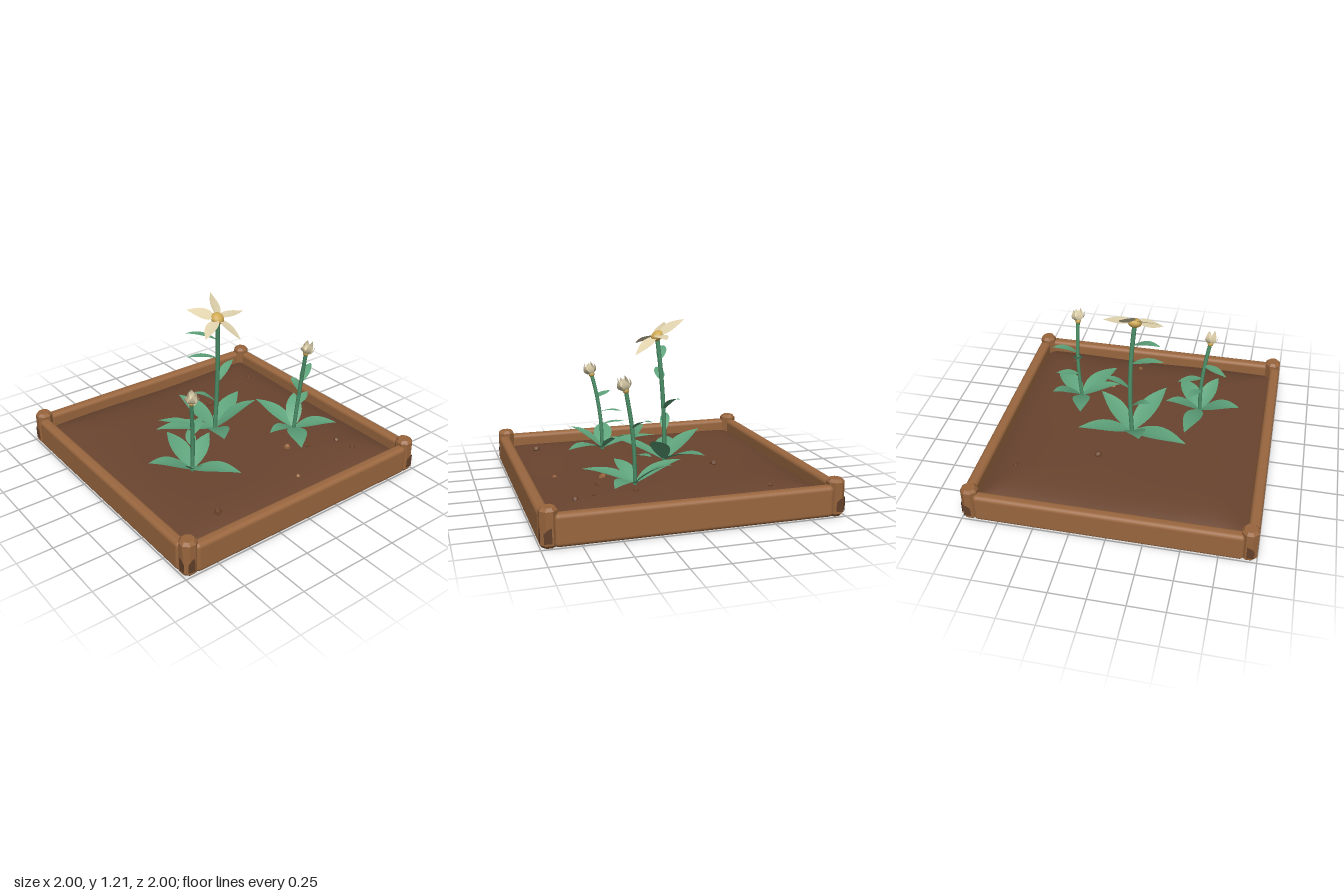
import * as THREE from 'three';
import { RoundedBoxGeometry } from 'three/addons/geometries/RoundedBoxGeometry.js';

const V = (x, y, z) => new THREE.Vector3(x, y, z);
const deg = THREE.MathUtils.degToRad;

function material(name, color, options = {}) {
  const m = new THREE.MeshStandardMaterial({ color, ...options });
  m.name = name;
  return m;
}

function add(parent, name, geometry, mat) {
  const mesh = new THREE.Mesh(geometry, mat);
  mesh.name = name;
  parent.add(mesh);
  return mesh;
}

// Pointed leaf or petal swept along a curve, with a shallow fold down the middle
function bladeGeometry(base, control, tip, width, fold = 0.12) {
  const curve = new THREE.QuadraticBezierCurve3(base, control, tip);
  const side = V(tip.z - base.z, 0, base.x - tip.x).normalize();
  const n = 12, points = [], index = [];
  for (let i = 0; i <= n; i++) {
    const t = i / n, p = curve.getPoint(t);
    const half = (width / 2) * Math.max(Math.sin(Math.PI * Math.pow(t, 0.8)), t < 0.5 ? 0.12 : 0);
    for (const s of [-1, 0, 1]) {
      const q = p.clone().addScaledVector(side, s * half);
      points.push(q.x, q.y + Math.abs(s) * half * fold, q.z);
    }
    if (i < n) {
      for (const k of [i * 3, i * 3 + 1]) index.push(k, k + 1, k + 3, k + 1, k + 4, k + 3);
    }
  }
  const g = new THREE.BufferGeometry();
  g.setAttribute('position', new THREE.Float32BufferAttribute(points, 3));
  g.setIndex(index);
  g.computeVertexNormals();
  return g;
}

function soilHeight(x, z) {
  const edge = Math.max(Math.abs(x), Math.abs(z)) / 0.93;
  return 0.18 - 0.07 * Math.pow(edge, 7) + 0.006 * Math.sin(5 * x + 1) * Math.cos(4 * z);
}

export function createModel() {
  const model = new THREE.Group();
  model.name = 'flowerBed';
  const double = { side: THREE.DoubleSide };
  const wood = material('wood', 0x9a673f);
  const postWood = material('postWood', 0x98653d, { flatShading: true });
  const darkWood = material('darkWood', 0x63402a, double);
  const soil = material('soil', 0x69442f, double);
  const clod = material('clod', 0x6a432b, { flatShading: true });
  const leaf = material('leafGreen', 0x5fa47c, double);
  const stemGreen = material('stemGreen', 0x4c9068);
  const cream = material('creamPetal', 0xe2d4ae, double);
  const gold = material('gold', 0xd0aa54);

  // Frame: four rounded planks
  const plank = new RoundedBoxGeometry(1.83, 0.21, 0.08, 4, 0.03);
  for (let i = 0; i < 4; i++) {
    const side = new THREE.Group();
    side.name = 'frameSide';
    side.rotation.y = i * Math.PI / 2;
    add(side, 'plank', plank, wood).position.set(0, 0.105, 0.96);
    model.add(side);
  }

  // Corner posts: chamfered square columns with dark worn patches near the foot
  const a = 0.04, b = 0.016;
  const octagon = new THREE.Shape([[a, -b], [a, b], [b, a], [-b, a], [-a, b], [-a, -b], [-b, -a], [b, -a]]
    .map(([x, y]) => new THREE.Vector2(x, y)));
  const postGeometry = new THREE.ExtrudeGeometry(octagon, {
    depth: 0.21, bevelEnabled: true, bevelSize: 0.016, bevelThickness: 0.02, bevelSegments: 1,
  });
  postGeometry.rotateX(-Math.PI / 2).translate(0, 0.02, 0);
  const patch = new THREE.ShapeGeometry(new THREE.Shape([[-0.025, 0.035], [0.025, 0.03], [0.025, 0.13], [0, 0.12], [-0.025, 0.1]]
    .map(([x, y]) => new THREE.Vector2(x, y))));
  for (const x of [-1, 1]) {
    for (const z of [-1, 1]) {
      const post = new THREE.Group();
      post.name = 'cornerPost';
      post.position.set(x * 0.943, 0, z * 0.943);
      add(post, 'post', postGeometry, postWood);
      const front = add(post, 'wornPatch', patch, darkWood);
      front.position.set(x * 0.012, 0, z * 0.0565);
      const outer = add(post, 'wornPatch', patch, darkWood);
      outer.position.set(x * 0.0565, 0, z * 0.012);
      outer.rotation.y = Math.PI / 2;
      model.add(post);
    }
  }

  // Soil: a gently mounded sheet that falls away at the frame
  const ground = new THREE.PlaneGeometry(1.86, 1.86, 32, 32).rotateX(-Math.PI / 2);
  const pos = ground.attributes.position;
  for (let i = 0; i < pos.count; i++) pos.setY(i, soilHeight(pos.getX(i), pos.getZ(i)));
  ground.computeVertexNormals();
  add(model, 'soil', ground, soil);

  // Clods: x, z, radius
  const clodGeometry = new THREE.DodecahedronGeometry(1);
  [[0.19, -0.38, 0.027], [0.74, -0.58, 0.02], [0.27, 0.45, 0.026], [0.41, 0.52, 0.026], [0.62, 0.59, 0.021],
    [0.65, 0.72, 0.021], [-0.58, 0.76, 0.027], [0.11, 0.75, 0.016], [0.61, 0.31, 0.02]].forEach(([x, z, r], i) => {
    const m = add(model, 'clod', clodGeometry, i === 7 || i === 2 ? postWood : clod);
    m.position.set(x, soilHeight(x, z) + r * 0.1, z);
    m.scale.setScalar(r);
    m.rotation.set(i, i * 2, 0);
  });

  // Plants: stem path, ground leaf tips and stem leaves (root height, then tip)
  const plants = [
    { stem: [[0.01, 0.16, -0.07], [0.025, 0.45, -0.065], [0.022, 0.8, -0.045], [0, 1.09, -0.02]], radius: 0.016,
      ground: [[-0.41, 0.25, -0.22, 0.15], [-0.1, 0.37, -0.37, 0.15], [0.37, 0.3, -0.25, 0.14], [0.27, 0.4, 0.08, 0.14], [-0.18, 0.34, 0.3, 0.15]],
      upper: [[0.9, -0.2, 0.99, -0.13], [0.75, -0.22, 0.83, -0.08], [0.57, 0.22, 0.67, -0.12], [0.42, -0.14, 0.5, -0.13]] },
    { stem: [[-0.44, 0.16, 0.28], [-0.44, 0.4, 0.29], [-0.46, 0.6, 0.315], [-0.485, 0.75, 0.345]], radius: 0.014, lean: 0.1,
      ground: [[-0.74, 0.31, 0.2, 0.14], [-0.38, 0.27, -0.12, 0.13], [-0.2, 0.33, 0.15, 0.12], [-0.25, 0.24, 0.58, 0.14], [-0.55, 0.34, 0.5, 0.12]],
      upper: [[0.53, -0.63, 0.59, 0.17], [0.42, -0.28, 0.5, 0.17], [0.33, -0.36, 0.4, 0.12]] },
    { stem: [[0.48, 0.16, 0.28], [0.5, 0.4, 0.29], [0.508, 0.6, 0.31], [0.505, 0.82, 0.345]], radius: 0.014, lean: -0.05,
      ground: [[0.4, 0.3, -0.07, 0.13], [0.65, 0.34, 0.08, 0.12], [0.72, 0.24, 0.48, 0.14], [0.27, 0.25, 0.6, 0.14], [0.19, 0.28, 0.35, 0.11]],
      upper: [[0.56, 0.68, 0.64, 0.22], [0.36, 0.66, 0.41, 0.22], [0.48, 0.48, 0.58, 0.22]] },
  ];

  plants.forEach(({ stem, radius, ground: low, upper, lean }, i) => {
    const plant = new THREE.Group();
    plant.name = i === 0 ? 'bloomingPlant' : 'buddingPlant';
    model.add(plant);
    const path = new THREE.CatmullRomCurve3(stem.map((p) => V(...p)));
    add(plant, 'stem', new THREE.TubeGeometry(path, 20, radius, 8), stemGreen);

    const root = path.getPoint(0).setY(0.185);
    for (const [x, y, z, w] of low) {
      const tip = V(x, y, z), control = root.clone().lerp(tip, 0.5);
      control.y += 0.05;
      add(plant, 'groundLeaf', bladeGeometry(root, control, tip, w, 0.2), leaf);
    }
    for (const [h, x, y, z] of upper) {
      const start = path.getPoint((h - stem[0][1]) / (stem[3][1] - stem[0][1]));
      const tip = V(x, y, z), control = start.clone().lerp(tip, 0.5).setY(y + 0.005);
      add(plant, 'stemLeaf', bladeGeometry(start, control, tip, 0.07), leaf);
    }

    const head = new THREE.Group();
    head.position.copy(path.getPoint(1));
    plant.add(head);
    if (i === 0) {
      // Open flower: five twisted petals round a gold centre
      head.name = 'flower';
      head.rotation.x = deg(34);
      const petal = bladeGeometry(V(0.01, 0.005, 0), V(0.11, 0.012, 0), V(0.225, 0, 0), 0.095, 0.08);
      [-32, 22, 0, 38, -22].forEach((twist, k) => {
        const m = add(head, 'petal', petal, cream);
        m.rotation.set(deg(twist), deg(k * 72), 0, 'YXZ');
      });
      add(head, 'flowerCentre', new THREE.SphereGeometry(0.048, 16, 12), gold).scale.y = 0.7;
    } else {
      // Half-open bud: two rings of upright petals on a gold base
      head.name = 'bud';
      head.rotation.set(0.3, 0, lean);
      add(head, 'budBase', new THREE.SphereGeometry(0.022, 12, 8), gold);
      for (let k = 0; k < 6; k++) {
        const r = k % 2 ? 0.045 : 0.028;
        const petal = bladeGeometry(V(0.01, 0, 0), V(r + 0.012, 0.025, 0), V(r, k % 2 ? 0.08 : 0.095, 0), 0.05, 0);
        add(head, 'budPetal', petal, cream).rotation.y = k * Math.PI / 3;
      }
    }
  });

  return model;
}
